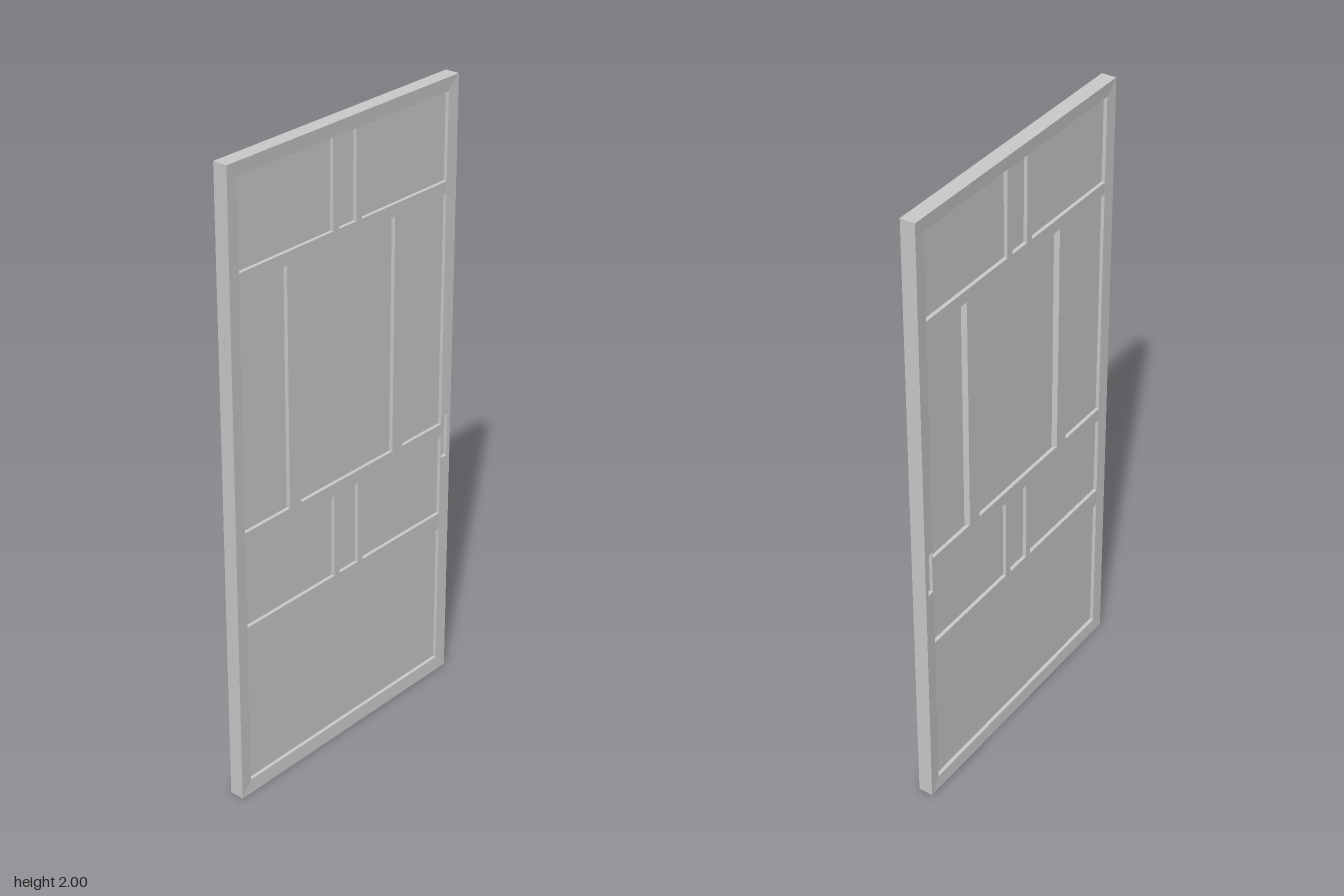
import * as THREE from 'three';

const W = 0.475, H = 2;                       // outer half width, height
const IN = 0.435, Y0 = 0.045, Y1 = 1.957;     // inner opening
const OUTER_Z = 0.0235, INNER_Z = 0.0205, PANEL_Z = 0.009;

export function createModel() {
  const door = new THREE.Group();
  door.name = 'panelDoor';
  const mat = new THREE.MeshStandardMaterial({ color: 0xcccccc, flatShading: true });

  const add = (name, geo) => {
    const mesh = new THREE.Mesh(geo, mat);
    mesh.name = name;
    door.add(mesh);
    return mesh;
  };
  const box = (name, x0, x1, y0, y1, z) =>
    add(name, new THREE.BoxGeometry(x1 - x0, y1 - y0, 2 * z))
      .position.set((x0 + x1) / 2, (y0 + y1) / 2, 0);

  // Mitred frame member, its faces sloping slightly down towards the opening
  const frameMember = (name, corners, slope, hole) => {
    const shape = new THREE.Shape(corners.map(([x, y]) => new THREE.Vector2(x, y)));
    if (hole) shape.holes.push(new THREE.Path(hole.map(([x, y]) => new THREE.Vector2(x, y))));
    const geo = new THREE.ExtrudeGeometry(shape, { depth: 1, bevelEnabled: false });
    const p = geo.attributes.position;
    for (let i = 0; i < p.count; i++) {
      const z = INNER_Z + (OUTER_Z - INNER_Z) * slope(p.getX(i), p.getY(i));
      p.setZ(i, p.getZ(i) > 0.5 ? z : -z);
    }
    geo.computeVertexNormals();
    add(name, geo);
  };
  const across = (x) => (Math.abs(x) - IN) / (W - IN);
  const pull = [[0.438, 0.775], [0.438, 0.918], [0.462, 0.918], [0.462, 0.775]];
  frameMember('leftStile', [[IN, Y0], [W, 0], [W, H], [IN, Y1]], across, pull);
  frameMember('rightStile', [[-W, 0], [-IN, Y0], [-IN, Y1], [-W, H]], across);
  frameMember('topRail', [[-IN, Y1], [IN, Y1], [W, H], [-W, H]], (x, y) => (y - Y1) / (H - Y1));
  frameMember('bottomRail', [[-W, 0], [W, 0], [IN, Y0], [-IN, Y0]], (x, y) => (Y0 - y) / Y0);

  // Floor of the recessed hand pull, seen from both faces
  box('handPullRecess', 0.438, 0.462, 0.775, 0.918, 0.01);

  // Thin panel filling the opening
  box('panel', -IN, IN, Y0, Y1, PANEL_Z);

  // Cross rails
  for (const [y0, y1] of [[0.525, 0.58], [0.852, 0.893], [1.647, 1.685]])
    box('crossRail', -IN, IN, y0, y1, INNER_Z);

  // Short muntins in the two narrow bands
  for (const [x0, x1, y0, y1] of [
    [-0.06, -0.036, 1.685, Y1], [0.036, 0.06, 1.685, Y1],
    [-0.058, -0.036, 0.58, 0.852], [0.048, 0.07, 0.58, 0.852],
  ]) box('muntin', x0, x1, y0, y1, INNER_Z);

  // Tall bars of the large panel: crisp on the front, softly sloped on the back
  for (const x of [-0.225, 0.228]) {
    const profile = [[-0.026, 0], [-0.024, -INNER_Z], [0.024, -INNER_Z], [0.026, 0],
      [0.036, PANEL_Z], [0.024, INNER_Z], [-0.024, INNER_Z], [-0.036, PANEL_Z]];
    const shape = new THREE.Shape(profile.map(([u, v]) => new THREE.Vector2(u, v)));
    const geo = new THREE.ExtrudeGeometry(shape, { depth: 1.647 - 0.893, bevelEnabled: false });
    geo.rotateX(-Math.PI / 2);
    geo.translate(x, 0.893, 0);
    add('tallBar', geo);
  }
  return door;
}
